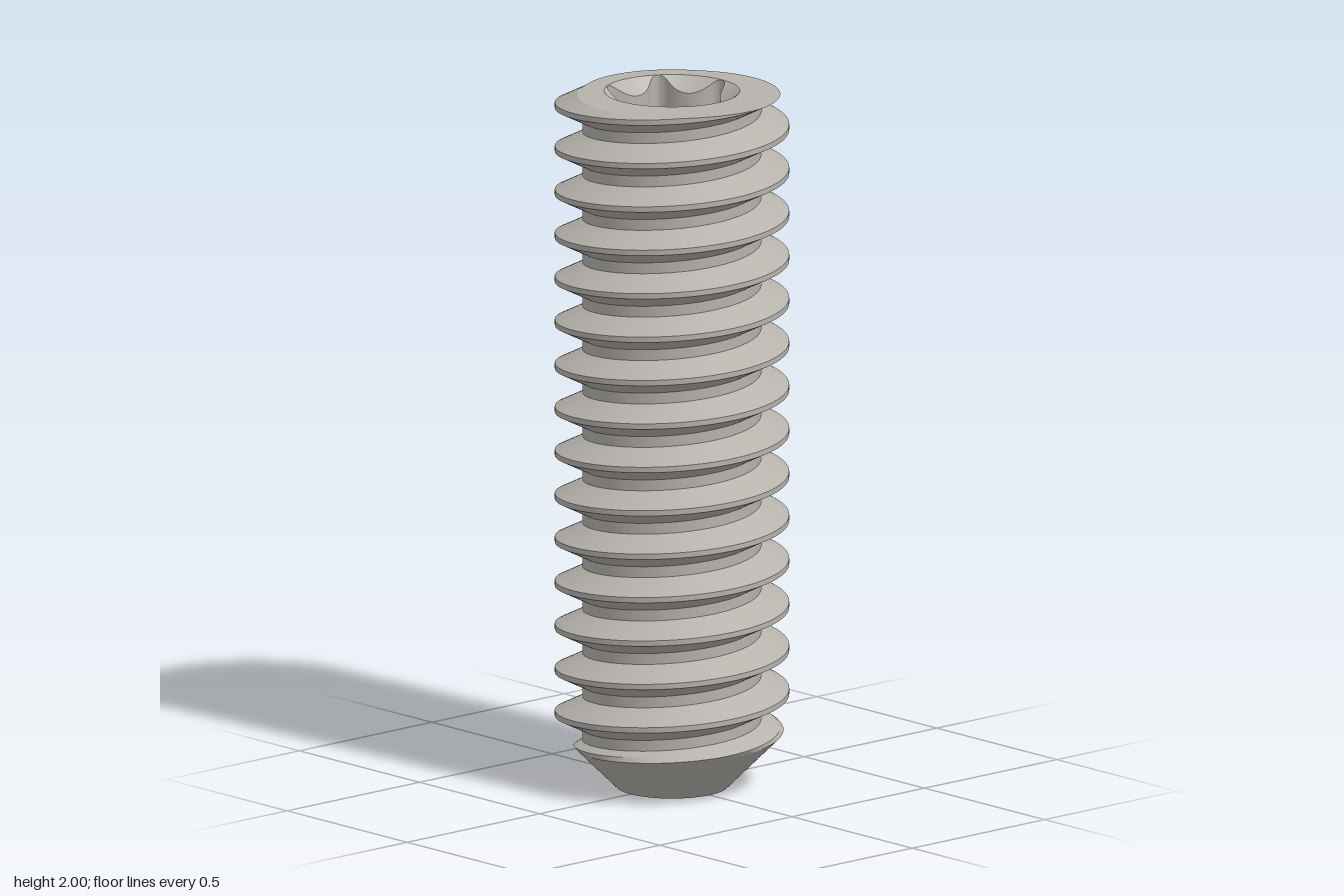
import * as THREE from 'three';
import { toCreasedNormals } from 'three/addons/utils/BufferGeometryUtils.js';

const COLS = 144, TAU = Math.PI * 2;
const LENGTH = 2, PITCH = 0.125, MAJOR = 0.328, MINOR = 0.25;
const CREST = 0.255;                    // height of a crest on the +x side
const CREST_HALF = PITCH / 16, ROOT_HALF = PITCH / 8;
const POINT_R = 0.157, SOCKET_R = 0.19;

// Thread radius at a given angle and height, cut by the 45 degree point
function threadRadius(phi, y) {
  const turns = (y - CREST) / PITCH + phi / TAU;
  const d = Math.abs(turns - Math.round(turns)) * PITCH;
  const t = (d - CREST_HALF) / (PITCH / 2 - CREST_HALF - ROOT_HALF);
  const r = MAJOR + (MINOR - MAJOR) * Math.min(1, Math.max(0, t));
  return Math.min(r, POINT_R + y);
}

// Six-lobed socket outline: large inward arcs joined by small round lobes
function lobeRadius(phi) {
  const step = Math.PI / 3;
  const a = Math.abs(phi - Math.round(phi / step) * step);
  if (a < 0.391) return 0.25 * Math.cos(a) - Math.sqrt(0.0121 - (0.25 * Math.sin(a)) ** 2);
  const b = step / 2 - a;
  return 0.165 * Math.cos(b) + Math.sqrt(0.000625 - (0.165 * Math.sin(b)) ** 2);
}

// Surface around the axis; each row maps an angle to [radius, height]
function ringSurface(rows, crease) {
  const grid = rows.map((row) => Array.from({ length: COLS + 1 }, (_, j) => {
    const phi = (j / COLS) * TAU, [r, y] = row(phi);
    return new THREE.Vector3(r * Math.cos(phi), y, r * Math.sin(phi));
  }));
  const pos = [], e1 = new THREE.Vector3(), e2 = new THREE.Vector3();
  const tri = (a, b, c) => {
    if (e1.subVectors(b, a).cross(e2.subVectors(c, a)).length() < 1e-9) return;
    for (const p of [a, b, c]) pos.push(p.x, p.y, p.z);
  };
  for (let i = 0; i + 1 < grid.length; i++) {
    for (let j = 0; j < COLS; j++) {
      tri(grid[i][j], grid[i + 1][j], grid[i + 1][j + 1]);
      tri(grid[i][j], grid[i + 1][j + 1], grid[i][j + 1]);
    }
  }
  const geo = new THREE.BufferGeometry();
  geo.setAttribute('position', new THREE.Float32BufferAttribute(pos, 3));
  return toCreasedNormals(geo, crease);
}

export function createModel() {
  const screw = new THREE.Group();
  screw.name = 'setScrew';
  const steel = new THREE.MeshStandardMaterial({ color: 0xb6b2ac });
  steel.name = 'steel';
  const add = (name, rows, crease) => {
    const mesh = new THREE.Mesh(ringSurface(rows, crease), steel);
    mesh.name = name;
    screw.add(mesh);
  };

  // Helical rows follow the crest and root edges, trimmed at both ends
  const edges = [-CREST_HALF, CREST_HALF, PITCH / 2 - ROOT_HALF, PITCH / 2 + ROOT_HALF, PITCH - CREST_HALF];
  const threadRows = [];
  for (let turn = -3; turn <= 15; turn++) {
    for (let s = 0; s < 4; s++) {
      for (let k = 0; k < 3; k++) {
        const offset = CREST + turn * PITCH + edges[s] + (edges[s + 1] - edges[s]) * k / 3;
        threadRows.push((phi) => {
          const y = THREE.MathUtils.clamp(offset - PITCH * phi / TAU, 0, LENGTH);
          return [threadRadius(phi, y), y];
        });
      }
    }
  }
  // Close the last turn on the top plane
  threadRows.push((phi) => [threadRadius(phi, LENGTH), LENGTH]);
  add('threadedBody', threadRows, 0.4);

  // Flat end face around the socket
  add('topFace', [
    (phi) => [threadRadius(phi, LENGTH), LENGTH],
    () => [SOCKET_R, LENGTH],
  ], 0.4);

  // Socket: chamfered mouth, lobed wall and conical floor
  const mouth = (phi) => [lobeRadius(phi), LENGTH - 0.8 * (SOCKET_R - lobeRadius(phi))];
  const floorEdge = (phi) => [lobeRadius(phi), 1.6 + 0.5 * lobeRadius(phi)];
  add('socketChamfer', [() => [SOCKET_R, LENGTH], mouth], 0.4);
  add('socketWall', [mouth, floorEdge], 0.6);
  add('socketFloor', [floorEdge, () => [0, 1.6]], 0.4);

  // Hollow cup in the point
  add('cupPoint', [() => [0, 0.09], () => [POINT_R, 0]], 0.4);
  return screw;
}
